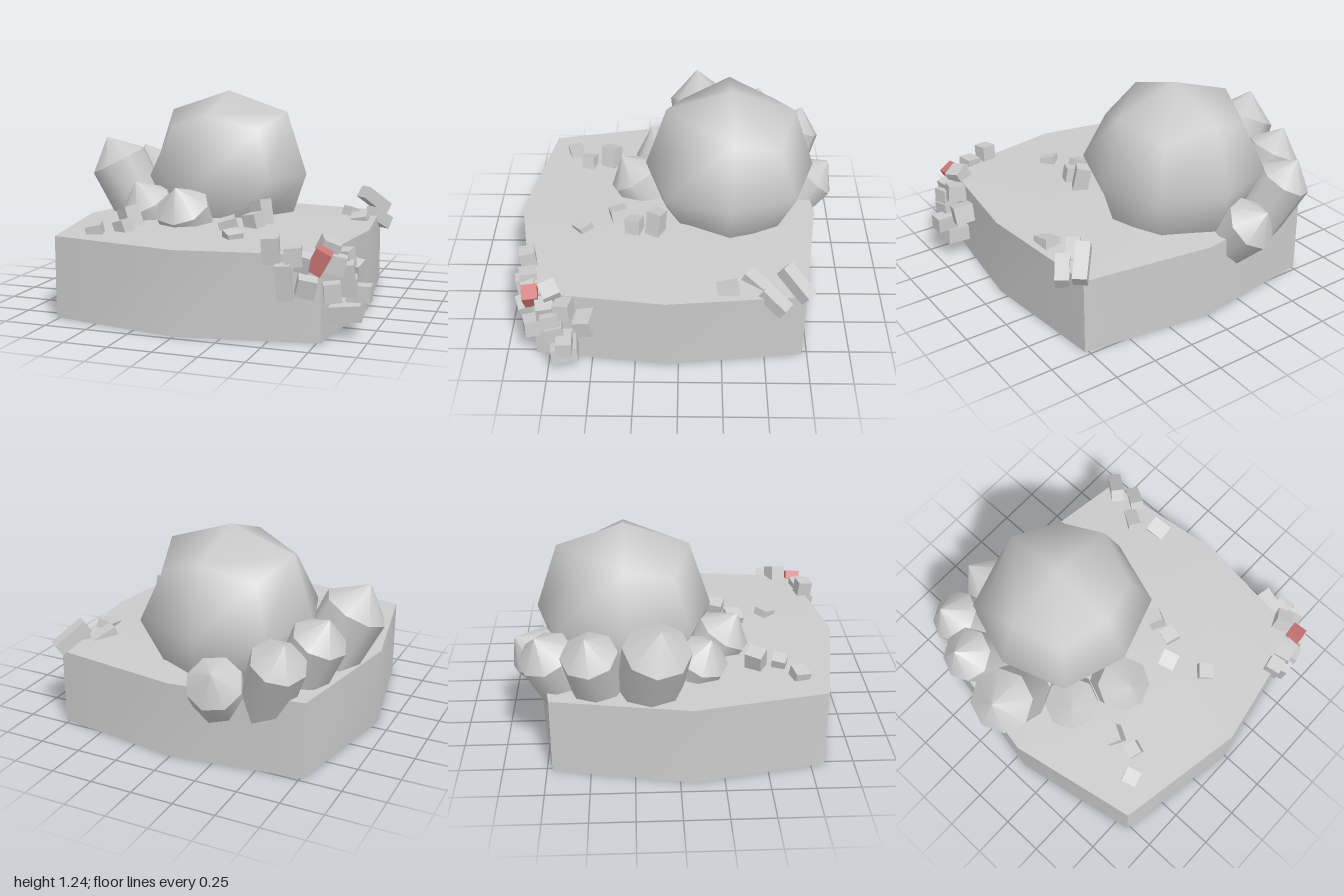
import * as THREE from 'three';
import { mergeVertices, toCreasedNormals } from 'three/addons/utils/BufferGeometryUtils.js';

const grey = new THREE.MeshStandardMaterial({ color: 0xcccccc });
const red = new THREE.MeshStandardMaterial({ color: 0xcc7777 });
const UP = new THREE.Vector3(0, 1, 0);
const BALL = new THREE.Vector3(-0.13, 0.73, -0.3);

function addMesh(parent, name, geometry, material = grey) {
  const mesh = new THREE.Mesh(geometry, material);
  mesh.name = name;
  parent.add(mesh);
  return mesh;
}

// Eight-cornered plinth: loops from the underside to a slightly raised middle
function plinthGeometry() {
  const outline = [[0, 0.97], [0.77, 0.83], [0.86, 0.07], [0.77, -0.72],
    [0, -0.83], [-0.77, -0.72], [-0.92, 0.07], [-0.77, 0.83]];
  const loops = [[0, 0], [1, 0], [1, 0.47], [0.55, 0.48], [0, 0.5]]; // scale, height
  const n = outline.length, pos = [], index = [];
  for (const [s, y] of loops) {
    for (const [x, z] of outline) {
      const drop = s === 1 && y > 0 && z < -0.5 ? 0.015 : 0;
      pos.push(x * s, y - drop, z * s - 0.1 * (1 - s));
    }
  }
  for (let r = 0; r < loops.length - 1; r++) {
    for (let i = 0; i < n; i++) {
      const a = r * n + i, b = r * n + (i + 1) % n;
      if (r > 0) index.push(a, b, b + n);
      if (r === 0) index.push(a, a + n, b + n);
      else if (r < loops.length - 2) index.push(a, b + n, a + n);
    }
  }
  // underside faces down
  for (let i = 0; i < n; i++) {
    const t = index[3 * i + 1];
    index[3 * i + 1] = index[3 * i + 2];
    index[3 * i + 2] = t;
  }
  const g = new THREE.BufferGeometry();
  g.setAttribute('position', new THREE.Float32BufferAttribute(pos, 3));
  g.setIndex(index);
  return toCreasedNormals(g, Math.PI / 3);
}

// Cube split once and rounded: edge and corner points are pulled inwards
function ballGeometry(r) {
  const box = new THREE.BoxGeometry(2, 2, 2, 2, 2, 2);
  box.deleteAttribute('normal');
  box.deleteAttribute('uv');
  const g = mergeVertices(box);
  const p = g.attributes.position, v = new THREE.Vector3();
  for (let i = 0; i < p.count; i++) {
    v.fromBufferAttribute(p, i);
    const axes = Math.round(Math.abs(v.x) + Math.abs(v.y) + Math.abs(v.z));
    v.multiplyScalar(r * [1, 1, 0.75, 0.556][axes]);
    p.setXYZ(i, v.x, v.y, v.z);
  }
  g.computeVertexNormals();
  return g;
}

// Prism with a pointed cap; the origin is the middle of the rim
function crystalGeometry(r, length, cap) {
  const profile = [[0, -length], [r * 0.95, -length], [r, 0], [0, cap]]
    .map(([x, y]) => new THREE.Vector2(x, y));
  const g = new THREE.LatheGeometry(profile, 8);
  g.deleteAttribute('normal');
  g.deleteAttribute('uv');
  return toCreasedNormals(mergeVertices(g, 1e-4), 0.82);
}

export function createModel() {
  const model = new THREE.Group();
  addMesh(model, 'plinth', plinthGeometry());
  addMesh(model, 'boulder', ballGeometry(0.51)).position.copy(BALL);

  // Crystals lean away from the boulder: x, y, z of rim, radius, length, lean
  const crystals = new THREE.Group();
  crystals.name = 'crystals';
  model.add(crystals);
  [
    [-0.29, 0.52, -0.84, 0.16, 0.34, 0.78],
    [-0.62, 0.67, -0.74, 0.16, 0.45, 0.5],
    [-0.75, 0.73, -0.49, 0.16, 0.45, 0.45],
    [-0.82, 0.79, -0.12, 0.19, 0.5, 0.47],
    [-0.52, 0.58, 0.14, 0.16, 0.3, 0.5],
    [-0.22, 0.58, 0.29, 0.165, 0.3, 0.55],
  ].forEach(([x, y, z, r, length, lean], i) => {
    const c = addMesh(crystals, 'crystal' + (i + 1), crystalGeometry(r, length, r * 0.88));
    const out = new THREE.Vector3(x - BALL.x, 0, z - BALL.z).normalize();
    c.position.set(x, y, z);
    c.quaternion.setFromUnitVectors(UP, out.multiplyScalar(Math.sin(lean)).addScaledVector(UP, Math.cos(lean)));
  });

  // Loose blocks: x, y, z, width, height, depth, then turns about x, y, z
  const heaps = {
    backRubble: [
      [0.74, 0.53, -0.66, 0.08, 0.08, 0.22, -0.6, -0.7, 0],
      [0.79, 0.44, -0.54, 0.08, 0.08, 0.17, -0.5, -0.6, 0],
      [0.66, 0.46, -0.44, 0.08, 0.08, 0.15, -0.4, -0.6, 0],
      [0.73, 0.46, -0.28, 0.1, 0.08, 0.12, 0.2, 0.1, 0.2],
    ],
    frontRubble: [
      [0.23, 0.55, 0.14, 0.09, 0.15, 0.09, 0, -0.5, 0.2],
      [0.22, 0.52, 0.27, 0.09, 0.09, 0.09, 0.1, -0.3, 0.2],
      [0.1, 0.5, 0.37, 0.1, 0.09, 0.1, 0.1, 0.3, 0.3],
      [0.2, 0.48, 0.58, 0.09, 0.07, 0.09, 0.2, 0.75, 0.1],
    ],
    sideRubble: [
      [-0.48, 0.53, 0.45, 0.09, 0.13, 0.1, 0.1, -0.5, 0.3],
      [-0.46, 0.5, 0.59, 0.08, 0.08, 0.08, 0.1, -0.3, 0.3],
      [-0.59, 0.49, 0.69, 0.09, 0.07, 0.09, 0.1, 0.3, 0.2],
    ],
    cornerRubble: [
      [0.51, 0.49, 0.87, 0.09, 0.14, 0.09, 0.1, 0.2, 0.05],
      [0.59, 0.33, 0.9, 0.08, 0.19, 0.07, 0.1, 0.2, 0.08],
      [0.63, 0.46, 0.86, 0.09, 0.1, 0.1, 0, 0.2, 0.1],
      [0.68, 0.43, 0.85, 0.08, 0.09, 0.08, 0.2, 0, -0.2],
      [0.7, 0.31, 0.87, 0.1, 0.1, 0.1, 0.2, 0.3, -0.2],
      [0.83, 0.41, 0.75, 0.1, 0.1, 0.1, 0, 0.2, -0.2],
      [0.83, 0.28, 0.83, 0.09, 0.1, 0.09, 0, 0.3, 0.1],
      [0.78, 0.49, 0.72, 0.1, 0.09, 0.1, 0.2, 0.4, -0.4],
      [0.87, 0.37, 0.72, 0.1, 0.09, 0.1, 0.1, 0.2, 0.1],
      [0.88, 0.29, 0.7, 0.1, 0.1, 0.1, 0.1, 0.2, 0],
      [0.93, 0.24, 0.64, 0.13, 0.09, 0.09, 0, 0.05, 0],
      [0.85, 0.14, 0.65, 0.2, 0.09, 0.15, 0.1, 0.1, 0.1],
      [0.86, 0.33, 0.52, 0.12, 0.11, 0.1, 0.25, -0.2, -0.1],
      [0.84, 0.42, 0.64, 0.11, 0.1, 0.09, 0.1, -0.2, 0.1],
    ],
  };
  const addBlock = (parent, name, [x, y, z, w, h, d, rx, ry, rz], material) => {
    const b = addMesh(parent, name, new THREE.BoxGeometry(w, h, d), material);
    b.position.set(x, y, z);
    b.rotation.set(rx, ry, rz, 'YXZ');
  };
  for (const [name, blocks] of Object.entries(heaps)) {
    const heap = new THREE.Group();
    heap.name = name;
    blocks.forEach((block, i) => addBlock(heap, 'block' + (i + 1), block));
    model.add(heap);
  }
  addBlock(model, 'redBlock', [0.76, 0.44, 0.83, 0.09, 0.13, 0.09, 0.1, 0.1, -0.5], red);
  return model;
}
